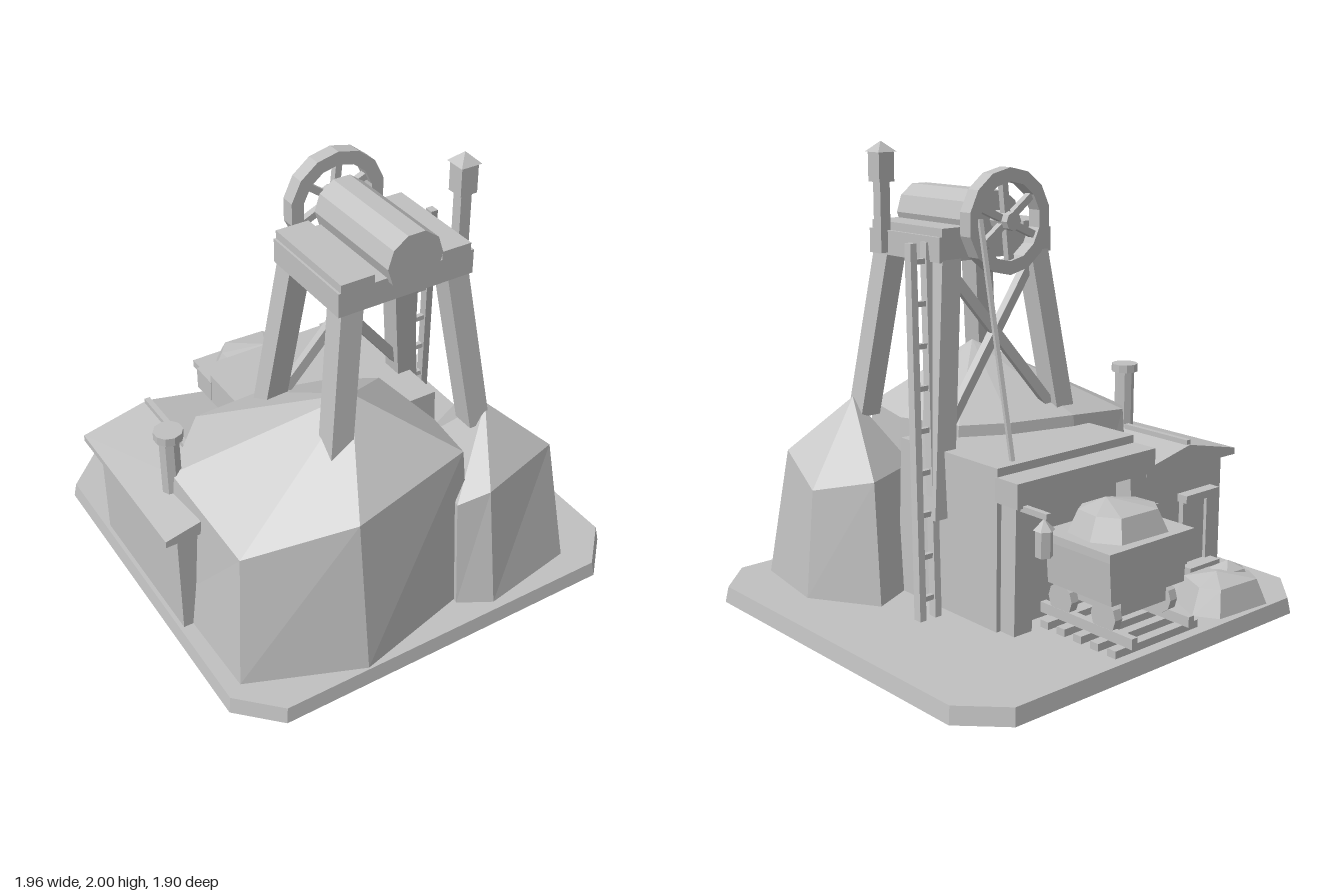
import * as THREE from 'three';

export function createModel() {
  const model = new THREE.Group();
  const stone = new THREE.MeshStandardMaterial({ color: 0xc0c0c0, side: THREE.DoubleSide });
  stone.name = 'plain grey';

  // Faceted mesh helper
  function add(name, geometry, x = 0, y = 0, z = 0) {
    const g = geometry.index ? geometry.toNonIndexed() : geometry;
    g.computeVertexNormals();
    const mesh = new THREE.Mesh(g, stone);
    mesh.name = name;
    mesh.position.set(x, y, z);
    model.add(mesh);
    return mesh;
  }
  // Box from its limits
  const box = (name, x0, x1, y0, y1, z0, z1) =>
    add(name, new THREE.BoxGeometry(x1 - x0, y1 - y0, z1 - z0), (x0 + x1) / 2, (y0 + y1) / 2, (z0 + z1) / 2);
  // Straight bar between two points
  function bar(name, a, b, w, d = w) {
    const p = new THREE.Vector3(...a), q = new THREE.Vector3(...b);
    const m = add(name, new THREE.BoxGeometry(w, d, p.distanceTo(q)));
    m.position.copy(p).add(q).multiplyScalar(0.5);
    m.lookAt(q);
    return m;
  }
  // Stack of cross-sections, ordered from +x towards +z, closed by a peak
  function loft(name, rings, peak, open = false) {
    const pos = [], n = rings[0].length;
    const centre = r => [0, 1, 2].map(k => r.reduce((s, p) => s + p[k], 0) / n);
    const top = rings[rings.length - 1], tip = peak || centre(top), foot = centre(rings[0]);
    for (let i = 0; i < n; i++) {
      const j = (i + 1) % n;
      for (let k = 0; k + 1 < rings.length; k++) {
        const a = rings[k][i], b = rings[k][j], c = rings[k + 1][i], d = rings[k + 1][j];
        pos.push(...a, ...c, ...b, ...b, ...c, ...d);
      }
      pos.push(...top[i], ...tip, ...top[j]);
      if (!open) pos.push(...rings[0][j], ...foot, ...rings[0][i]);
    }
    const g = new THREE.BufferGeometry();
    g.setAttribute('position', new THREE.Float32BufferAttribute(pos, 3));
    return add(name, g);
  }
  const oblong = (x0, x1, y, z0, z1) => [[x1, y, z0], [x1, y, z1], [x0, y, z1], [x0, y, z0]];
  const square = (x, y, z, h, k = h) => oblong(x - h, x + h, y, z - k, z + k);
  const level = (y, pts) => pts.map(([x, z]) => [x, y, z]);

  // Hollow base with clipped corners, open underneath
  const slab = (y, s) => level(y, [[0.965, -0.78], [0.965, 0.78], [0.795, 0.95], [-0.795, 0.95],
    [-0.965, 0.78], [-0.965, -0.78], [-0.795, -0.95], [0.795, -0.95]].map(([x, z]) => [x * s + 0.015, z * s]));
  loft('base', [slab(0, 1), slab(0.07, 0.988)], null, true);

  // Large rock
  loft('largeRock', [
    level(0.07, [[0.3, 0.46], [0.25, 0.77], [-0.38, 0.93], [-0.87, 0.73], [-0.88, 0.15], [-0.62, -0.16],
      [-0.3, -0.14], [0.02, -0.06], [0.26, 0.08]]),
    [[0.25, 0.78, 0.45], [0.21, 0.8, 0.71], [-0.37, 0.76, 0.83], [-0.8, 0.64, 0.64], [-0.83, 0.72, 0.12],
      [-0.6, 0.78, -0.1], [-0.3, 0.8, -0.09], [0, 0.8, -0.01], [0.2, 0.8, 0.1]],
  ], [-0.17, 1.08, 0.45], true);

  // Small rock
  loft('smallRock', [
    level(0.07, [[0.78, 0.43], [0.72, 0.82], [0.28, 0.9], [0.14, 0.82], [0.25, 0.3], [0.6, 0.14]]),
    [[0.73, 0.54, 0.44], [0.67, 0.65, 0.72], [0.28, 0.63, 0.82], [0.15, 0.58, 0.77], [0.28, 0.6, 0.34], [0.58, 0.6, 0.2]],
  ], [0.42, 0.88, 0.57], true);

  // Tower legs and rear cross braces
  for (const s of [-1, 1]) {
    loft('frontLeg', [square(0.03 + s * 0.345, 0.8, 0.55, 0.05), square(0.03 + s * 0.245, 1.53, 0.47, 0.05)]);
    loft('backLeg', [square(0.03 + s * 0.385, 0.47, -0.015, 0.05), square(0.03 + s * 0.245, 1.53, 0.095, 0.05)]);
    bar('crossBrace', [0.03 + s * 0.23, 1.48, 0.09], [0.03 - s * 0.32, 0.8, 0.02], 0.035, 0.045);
  }

  // Platform, drum bearers and drum
  const round = (name, r, len, x, y, z, sides, axis, turn = 0) => {
    const g = new THREE.CylinderGeometry(r, r, len, sides).rotateY(turn);
    if (axis === 'z') g.rotateX(Math.PI / 2);
    if (axis === 'x') g.rotateZ(Math.PI / 2);
    return add(name, g, x, y, z);
  };
  box('platform', -0.28, 0.34, 1.52, 1.625, 0.045, 0.525);
  box('drumBearer', -0.27, -0.12, 1.625, 1.66, 0.045, 0.525);
  box('drumBearer', 0.19, 0.325, 1.625, 1.66, 0.045, 0.525);
  round('drum', 0.126, 0.525, 0.045, 1.68, 0.29, 10, 'z', Math.PI / 10);
  round('axle', 0.04, 0.14, 0.045, 1.68, -0.01, 8, 'z');

  // Winding wheel
  const ringPath = (P, r) => {
    const pts = [];
    for (let i = 0; i < 14; i++) {
      const a = i / 14 * Math.PI * 2;
      pts.push(new THREE.Vector2(Math.sin(a) * r, Math.cos(a) * r));
    }
    return new P(pts);
  };
  const rim = ringPath(THREE.Shape, 0.223);
  rim.holes.push(ringPath(THREE.Path, 0.165));
  add('wheelRim', new THREE.ExtrudeGeometry(rim, { depth: 0.065, bevelEnabled: false }), 0.045, 1.678, -0.06);
  for (let i = 0; i < 6; i++) {
    const a = (i + 0.4) / 6 * Math.PI * 2, c = Math.cos(a), s = Math.sin(a);
    bar('wheelSpoke', [0.045 + c * 0.02, 1.678 + s * 0.02, -0.03], [0.045 + c * 0.18, 1.678 + s * 0.18, -0.03], 0.03);
  }
  bar('cable', [0.215, 1.7, -0.065], [0.27, 0.74, -0.325], 0.018);

  // Ladder
  const ladder = (x, t) => [x + 0.15 * t, 1.6 - 1.53 * t, 0.14 - 0.225 * t];
  for (const x of [0.335, 0.415])
    loft('ladderRail', [square(...ladder(x, 1), 0.016, 0.02), square(...ladder(x, 0), 0.016, 0.02)]);
  for (let i = 0; i < 9; i++) {
    const t = 0.05 + i * 0.112;
    bar('ladderRung', ladder(0.335, t), ladder(0.415, t), 0.022);
  }

  // Lamp post on the platform
  box('lampPost', 0.325, 0.375, 1.53, 1.83, 0.395, 0.445);
  box('lampHead', 0.311, 0.389, 1.83, 1.955, 0.381, 0.459);
  loft('lampCap', [square(0.35, 1.955, 0.42, 0.048)], [0.35, 2, 0.42]);

  // Mine entrance
  loft('tunnelBlock', [oblong(-0.41, 0.415, 0.07, -0.39, 0.26), oblong(-0.39, 0.39, 0.75, -0.37, 0.26)]);
  box('lintel', -0.395, 0.395, 0.61, 0.715, -0.495, -0.36);
  for (const s of [-1, 1]) loft('entrancePost', [square(s * 0.345, 0.07, -0.425, 0.048), square(s * 0.325, 0.61, -0.415, 0.048)]);

  // Hanging lantern
  box('lanternBracket', 0.342, 0.367, 0.595, 0.62, -0.63, -0.48);
  round('lantern', 0.036, 0.11, 0.355, 0.495, -0.605, 6);
  add('lanternCap', new THREE.ConeGeometry(0.045, 0.045, 6), 0.355, 0.572, -0.605);

  // Hut
  box('hutWalls', -0.92, -0.39, 0.07, 0.585, -0.42, 0.33);
  const gable = new THREE.Shape([[-0.98, 0.57], [-0.39, 0.575], [-0.39, 0.61], [-0.67, 0.67], [-0.98, 0.6]]
    .map(p => new THREE.Vector2(...p)));
  add('hutRoof', new THREE.ExtrudeGeometry(gable, { depth: 0.805, bevelEnabled: false }), 0, 0, -0.45);
  box('roofRidge', -0.685, -0.66, 0.66, 0.69, -0.44, -0.06);
  box('door', -0.8, -0.68, 0.09, 0.4, -0.43, -0.41);
  for (const x of [-0.82, -0.66]) box('doorPost', x - 0.018, x + 0.018, 0.07, 0.42, -0.445, -0.41);
  box('doorCanopy', -0.85, -0.63, 0.41, 0.445, -0.475, -0.41);
  box('doorStep', -0.84, -0.64, 0.03, 0.11, -0.5, -0.41);
  box('doorKnob', -0.715, -0.7, 0.23, 0.26, -0.442, -0.42);
  box('windowSlot', -0.5, -0.48, 0.27, 0.43, -0.428, -0.41);
  round('chimney', 0.045, 0.33, -0.82, 0.75, 0.1, 8);
  round('chimneyCap', 0.062, 0.037, -0.82, 0.912, 0.1, 10);

  // Track
  for (const s of [-1, 1]) box('rail', s * 0.165 - 0.016, s * 0.165 + 0.016, 0.1, 0.145, -0.92, -0.4);
  for (let i = 0; i < 5; i++) box('sleeper', -0.24, 0.24, 0.066, 0.102, -0.89 + i * 0.095, -0.845 + i * 0.095);

  // Ore cart
  loft('cartBody', [oblong(-0.21, 0.21, 0.26, -0.835, -0.475), oblong(-0.225, 0.225, 0.46, -0.835, -0.475)]);
  box('cartRim', -0.243, 0.243, 0.45, 0.485, -0.855, -0.465);
  box('cartFrame', -0.13, 0.13, 0.19, 0.265, -0.81, -0.48);
  for (const z of [-0.515, -0.76]) {
    for (const s of [-1, 1]) round('cartWheel', 0.068, 0.04, s * 0.16, 0.19, z, 10, 'x');
    round('cartAxle', 0.018, 0.36, 0, 0.19, z, 6, 'x');
  }
  const load = [[0.2, -0.7], [0.18, -0.55], [0.1, -0.5], [-0.1, -0.515], [-0.19, -0.6], [-0.2, -0.73], [-0.13, -0.82], [0.13, -0.81]];
  loft('oreLoad', [level(0.48, load), level(0.58, load.map(([x, z]) => [x * 0.78, -0.655 + (z + 0.655) * 0.78]))],
    [0.03, 0.62, -0.62]);

  // Rubble pile
  const pile = [[-0.31, -0.8], [-0.39, -0.62], [-0.6, -0.62], [-0.71, -0.67], [-0.72, -0.81], [-0.65, -0.92], [-0.37, -0.9]];
  const shrink = (k, cx, cz) => pile.map(([x, z]) => [cx + (x + 0.52) * k, cz + (z + 0.77) * k]);
  loft('rubble', [level(0.07, pile), level(0.18, shrink(0.77, -0.52, -0.77))], [-0.48, 0.22, -0.78], true);
  loft('rubbleTop', [level(0.16, shrink(0.46, -0.585, -0.75)), level(0.2, shrink(0.38, -0.585, -0.75))], [-0.59, 0.235, -0.75]);

  return model;
}
